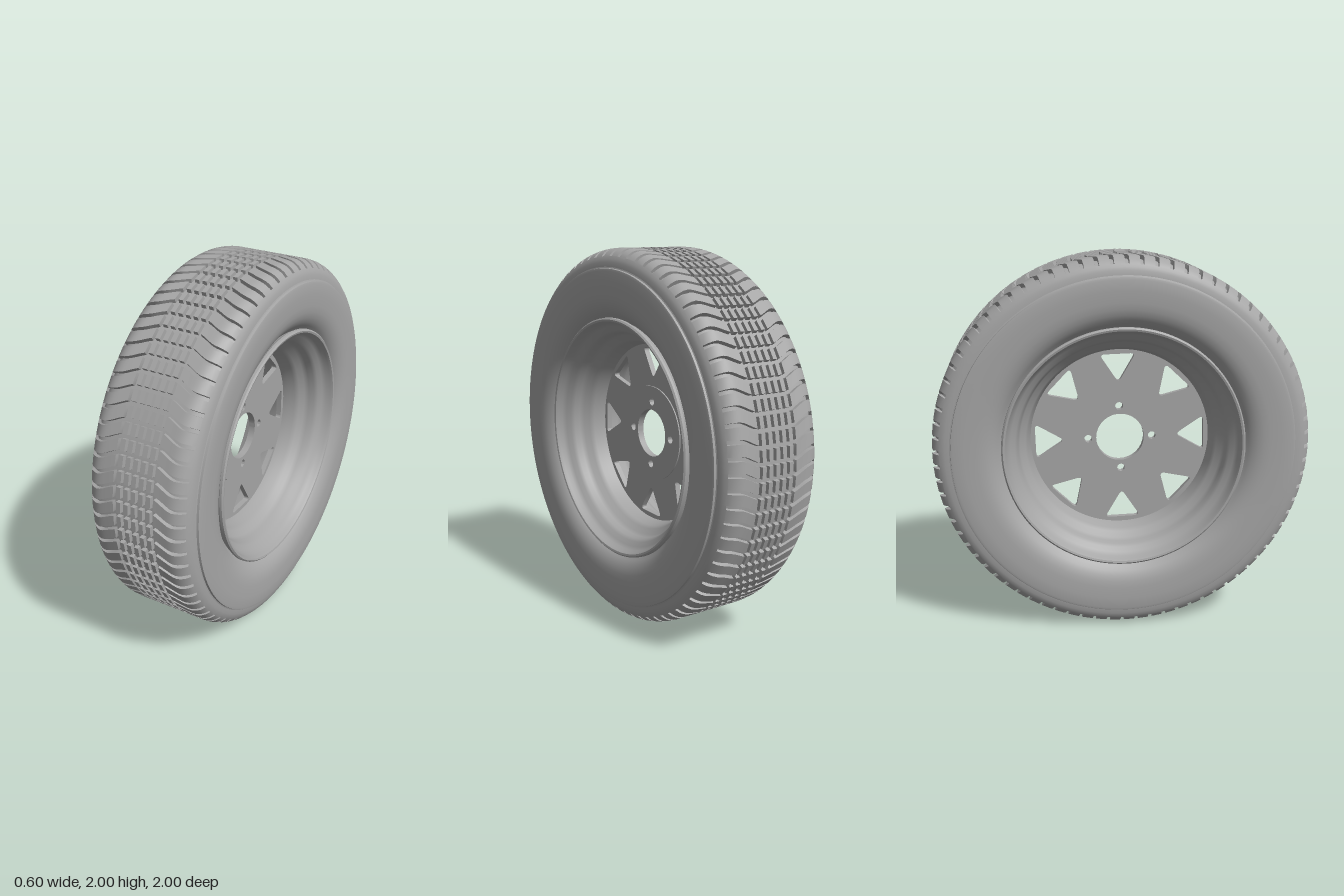
import * as THREE from 'three';
import { toCreasedNormals } from 'three/addons/utils/BufferGeometryUtils.js';

const PITCHES = 80;          // tread blocks around the tyre
const DEPTH = 0.022;         // tread groove depth

// Solid of revolution about the x axis from [radius, x] points
function revolve(points, segments, crease) {
  const geo = new THREE.LatheGeometry(points.map(([r, x]) => new THREE.Vector2(r, x)), segments);
  geo.rotateZ(-Math.PI / 2);
  return toCreasedNormals(geo, crease);
}

const mirrorX = (points) => points.map(([r, x]) => [r, -x]).reverse();

// Tyre radius across the tread: almost flat crown, round shoulder
function crown(x) {
  const over = Math.max(0, Math.abs(x) - 0.19);
  return 0.905 + Math.sqrt(Math.max(0, 0.095 ** 2 - over ** 2));
}

// Cross grooves sweep forward in the middle of the tread
const sweep = (x) => 0.045 * (1 - THREE.MathUtils.smoothstep(Math.abs(x), 0.09, 0.22));

function treadGeometry() {
  // Columns across the tread: [x, cut by ring groove, cut by cross groove]
  const cols = [];
  const shoulder = [0.285, 0.282, 0.276, 0.268];
  const cut = [0.266, 0.25, 0.23, 0.21, 0.19, 0.17, 0.15, 0.13];
  shoulder.forEach((x) => cols.push([-x, false, false]));
  cut.forEach((x) => cols.push([-x, false, true]));
  for (let k = 0; k < 6; k++) {
    const c = -0.105 + k * 0.042, h = 0.008;
    cols.push([c - h - 0.001, false, true], [c - h, true, true], [c + h, true, true], [c + h + 0.001, false, true]);
  }
  [...cut].reverse().forEach((x) => cols.push([x, false, true]));
  [...shoulder].reverse().forEach((x) => cols.push([x, false, false]));

  // Stations around the tyre: block, then cross groove
  const rows = [];
  for (let p = 0; p < PITCHES; p++) {
    [[0, false], [0.72, false], [0.74, true], [0.98, true]].forEach(([f, g]) =>
      rows.push([(p + f) * 2 * Math.PI / PITCHES, g]));
  }

  const pos = [], index = [], n = cols.length;
  rows.forEach(([angle, crossGroove], j) => {
    cols.forEach(([x, ringGroove, canCut], i) => {
      const r = crown(x) - (ringGroove || (crossGroove && canCut) ? DEPTH : 0);
      const a = angle + sweep(x);
      pos.push(x, r * Math.sin(a), r * Math.cos(a));
      if (i === n - 1) return;
      const next = ((j + 1) % rows.length) * n + i, here = j * n + i;
      index.push(here, here + 1, next + 1, here, next + 1, next);
    });
  });
  const geo = new THREE.BufferGeometry();
  geo.setAttribute('position', new THREE.Float32BufferAttribute(pos, 3));
  geo.setIndex(index);
  return toCreasedNormals(geo, 0.5);
}

// Rounded triangular window pointing at the hub
function windowPath(angle) {
  const at = (u, v) => new THREE.Vector2(
    u * Math.cos(angle) - v * Math.sin(angle), u * Math.sin(angle) + v * Math.cos(angle));
  const corners = [at(0.305, 0), at(0.462, -0.098), at(0.462, 0.098)];
  const path = new THREE.Path();
  corners.forEach((c, i) => {
    const before = corners[(i + 2) % 3], after = corners[(i + 1) % 3];
    const a = c.clone().lerp(before, 0.03 / c.distanceTo(before));
    const b = c.clone().lerp(after, 0.03 / c.distanceTo(after));
    if (i === 0) path.moveTo(a.x, a.y); else path.lineTo(a.x, a.y);
    path.quadraticCurveTo(c.x, c.y, b.x, b.y);
  });
  path.closePath();
  return path;
}

// Flat disc across the axle, centred on x = 0 before the offset
function discGeometry(radius, thickness, holes) {
  const shape = new THREE.Shape().absarc(0, 0, radius, 0, Math.PI * 2, false);
  shape.holes.push(...holes);
  const geo = new THREE.ExtrudeGeometry(shape, { depth: thickness, bevelEnabled: false, curveSegments: 48 });
  geo.translate(0, 0, -thickness / 2);
  geo.rotateY(Math.PI / 2);
  return toCreasedNormals(geo, 0.5);
}

const circleHole = (x, y, r) => new THREE.Path().absarc(x, y, r, 0, Math.PI * 2, true);

export function createModel() {
  const group = new THREE.Group();
  group.name = 'wheel';
  const grey = new THREE.MeshStandardMaterial({ color: 0xa6a6a6 });
  grey.name = 'grey';
  const add = (name, geo) => {
    const mesh = new THREE.Mesh(geo, grey);
    mesh.name = name;
    mesh.position.y = 1;
    group.add(mesh);
    return mesh;
  };

  add('tread', treadGeometry());

  // Sidewalls, from the rim bead out to the shoulder
  const wall = [
    [0.915, 0.28], [0.905, 0.285], [0.899, 0.287], [0.897, 0.298], [0.885, 0.301], [0.83, 0.302], [0.77, 0.3],
    [0.735, 0.296], [0.705, 0.287], [0.68, 0.274], [0.66, 0.258], [0.645, 0.24], [0.62, 0.22],
  ];
  add('leftSidewall', revolve(wall, 160, 0.5));
  add('rightSidewall', revolve(mirrorX(wall), 160, 0.5));

  // Rim barrel: rolled lips, bead seats and a drop centre
  const outer = [[0.55, 0], [0.57, 0.1], [0.615, 0.18], [0.63, 0.235]];
  const inner = [
    [0.643, 0.255], [0.642, 0.268], [0.634, 0.275], [0.624, 0.272], [0.617, 0.258], [0.61, 0.235], [0.595, 0.215],
    [0.572, 0.2], [0.56, 0.18], [0.555, 0.15], [0.545, 0.125], [0.517, 0.105], [0.505, 0.08], [0.499, 0.045], [0.487, 0.012],
  ];
  const half = [...outer, ...inner];
  add('rim', revolve([...half, ...mirrorX(half)], 128, 0.6));

  // Wheel disc with eight windows, bore and four bolt holes
  const turn = -0.03;
  const bore = () => circleHole(0, 0, 0.131);
  const bolts = () => [0, 1, 2, 3].map((k) => {
    const a = k * Math.PI / 2 + turn;
    return circleHole(0.175 * Math.cos(a), 0.175 * Math.sin(a), 0.021);
  });
  const windows = [];
  for (let k = 0; k < 8; k++) windows.push(windowPath(k * Math.PI / 4 + turn));
  add('wheelDisc', discGeometry(0.5, 0.03, [bore(), ...bolts(), ...windows]));

  // Slightly raised mounting pad
  add('hubPad', discGeometry(0.26, 0.008, [bore(), ...bolts()])).position.x = 0.018;

  return group;
}
